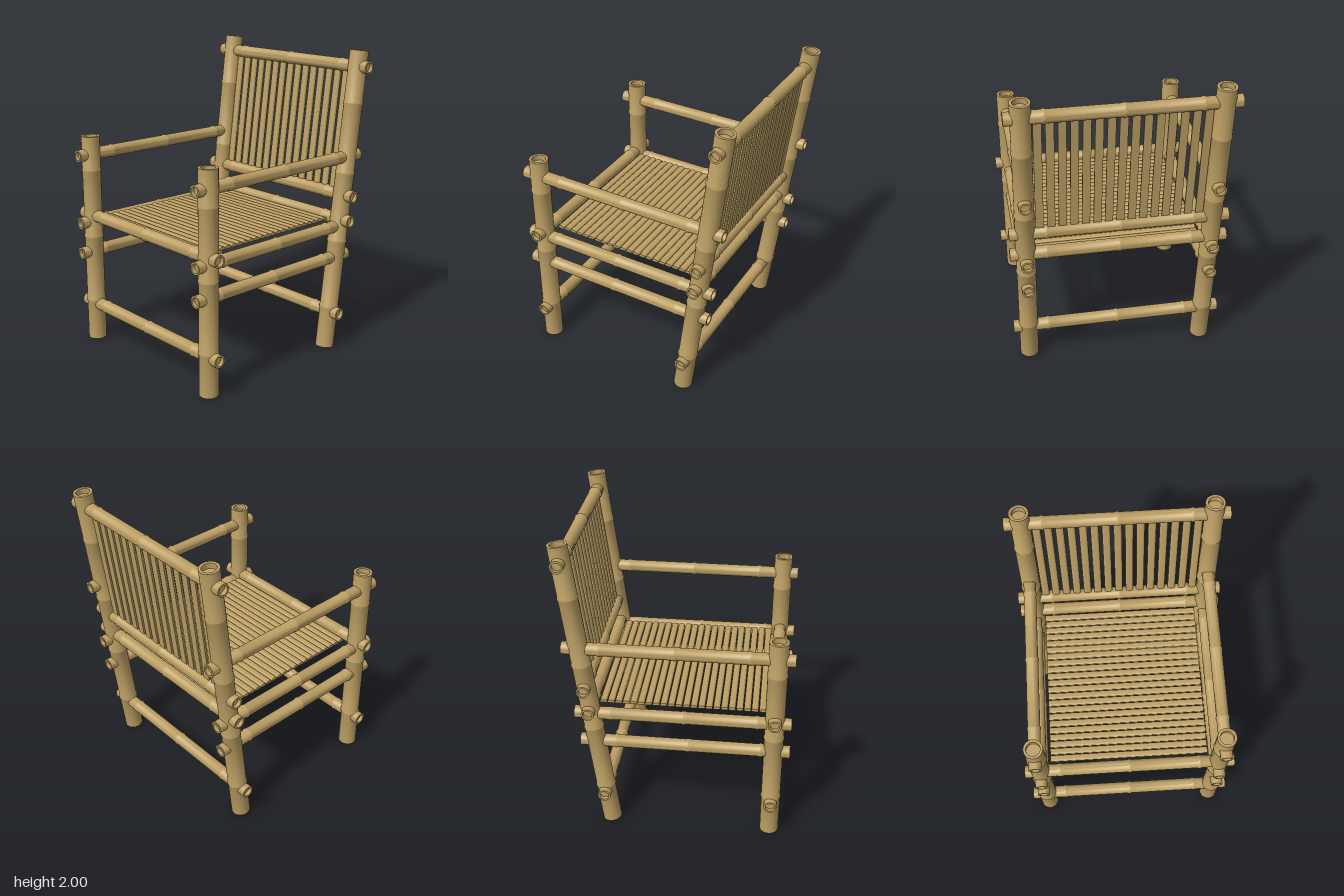
import * as THREE from 'three';
import { toCreasedNormals } from 'three/addons/utils/BufferGeometryUtils.js';

const bamboo = new THREE.MeshStandardMaterial({ color: 0xbc9f64 });
bamboo.name = 'bamboo';

const UP = new THREE.Vector3(0, 1, 0);

// Bamboo pole between two points: slight rings at the nodes, recessed ends
function pole(name, from, to, radius, firstNode) {
  const a = new THREE.Vector3(...from);
  const dir = new THREE.Vector3(...to).sub(a);
  const length = dir.length();
  const inner = radius * 0.72;
  const recess = radius * 0.6;
  const profile = [[0, recess], [inner, recess], [inner, 0], [radius, 0]];
  for (let n = firstNode; n < length - 0.05; n += 0.46) {
    profile.push([radius, n - 0.014], [radius + 0.004, n - 0.004],
      [radius + 0.004, n + 0.004], [radius, n + 0.014]);
  }
  profile.push([radius, length], [inner, length], [inner, length - recess], [0, length - recess]);
  const lathe = new THREE.LatheGeometry(profile.map(([x, y]) => new THREE.Vector2(x, y)), 28);
  const mesh = new THREE.Mesh(toCreasedNormals(lathe, 0.6), bamboo);
  mesh.name = name;
  mesh.position.copy(a);
  mesh.quaternion.setFromUnitVectors(UP, dir.normalize());
  return mesh;
}

// Split-bamboo strip: flat back, arched face towards +y, running along z
function stripGeometry(width, length) {
  const w = width / 2;
  const shape = new THREE.Shape();
  shape.moveTo(-w, -0.008);
  shape.lineTo(w, -0.008);
  shape.lineTo(w, 0.002);
  for (let i = 1; i <= 8; i++) {
    const t = (i / 8) * Math.PI;
    shape.lineTo(w * Math.cos(t), 0.002 + 0.01 * Math.sin(t));
  }
  const g = new THREE.ExtrudeGeometry(shape, { depth: length, bevelEnabled: false });
  g.translate(0, 0, -length / 2);
  return toCreasedNormals(g, 0.6);
}

export function createModel() {
  const chair = new THREE.Group();
  chair.name = 'bambooArmchair';

  const postX = 0.59;
  const frontZ = 0.63;
  const backBottom = [0.0075, -0.42];
  const backTop = [1.9925, -0.668];
  const slope = (backTop[1] - backBottom[1]) / (backTop[0] - backBottom[0]);
  const backZ = (y) => backBottom[1] + (y - backBottom[0]) * slope;

  for (const side of [-1, 1]) {
    const x = side * postX;
    const label = side > 0 ? 'left' : 'right';
    // Upright front post and leaning back post
    chair.add(pole(label + 'FrontPost', [x, 0, frontZ], [x, 1.43, frontZ], 0.061, 0.28));
    chair.add(pole(label + 'BackPost', [x, ...backBottom], [x, ...backTop], 0.061, 0.28));
    // Side rails, from back to front
    for (const [name, y, z] of [['Armrest', 1.305, -0.685], ['SeatRail', 0.842, -0.628], ['LowerRail', 0.632, -0.6]]) {
      chair.add(pole(label + name, [x, y, z], [x, y, 0.735], 0.04, 0.23));
    }
  }

  // Cross rails
  const crossRails = [
    ['frontSeatRail', 0.885, frontZ], ['frontStretcher', 0.252, frontZ],
    ['backSeatRail', 0.885, backZ(0.885)], ['backStretcher', 0.252, backZ(0.252)],
    ['backrestLowerRail', 1.05, backZ(1.05)], ['backrestTopRail', 1.89, backZ(1.89)],
  ];
  for (const [name, y, z] of crossRails) {
    chair.add(pole(name, [-0.69, y, z], [0.69, y, z], 0.041, 0.23));
  }

  // Seat slats
  const seat = new THREE.Group();
  seat.name = 'seatSlats';
  const seatStrip = stripGeometry(0.043, 1.04);
  for (let i = 0; i < 22; i++) {
    const slat = new THREE.Mesh(seatStrip, bamboo);
    slat.name = 'seatSlat';
    slat.rotation.y = Math.PI / 2;
    slat.position.set(0, 0.882, 0.551 - i * 0.0481);
    seat.add(slat);
  }
  chair.add(seat);

  // Backrest slats, arched faces to the front, leaning with the posts
  const back = new THREE.Group();
  back.name = 'backrestSlats';
  const backStrip = stripGeometry(0.05, 0.84);
  for (let i = -7; i <= 7; i++) {
    const slat = new THREE.Mesh(backStrip, bamboo);
    slat.name = 'backrestSlat';
    slat.rotation.x = Math.PI / 2;
    slat.position.x = i * 0.0713;
    back.add(slat);
  }
  back.position.set(0, 1.47, backZ(1.47));
  back.rotation.x = Math.atan(slope);
  chair.add(back);

  return chair;
}
